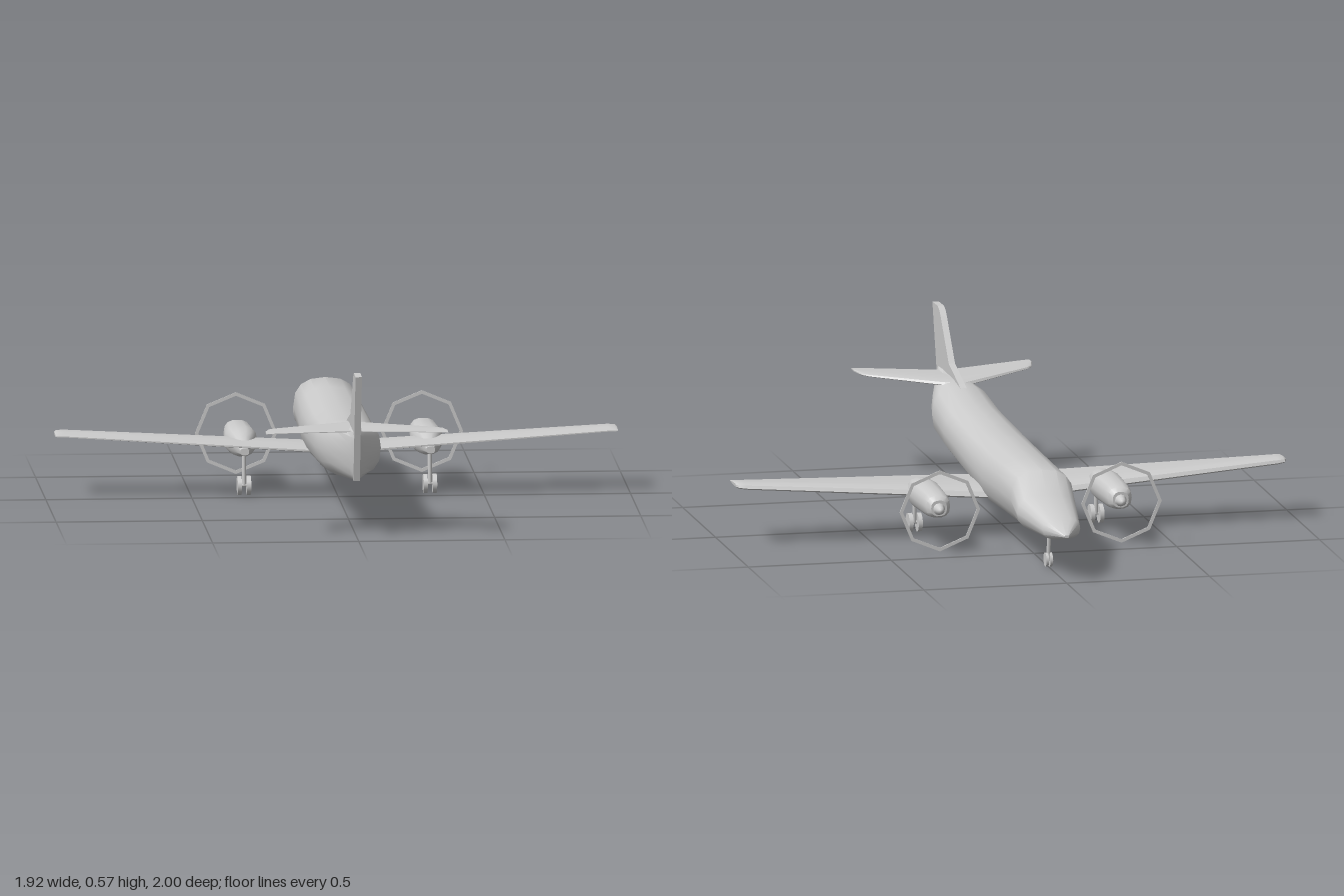
import * as THREE from 'three';
import { toCreasedNormals } from 'three/addons/utils/BufferGeometryUtils.js';

const grey = new THREE.MeshStandardMaterial({ color: 0xcccccc, side: THREE.DoubleSide });

function add(parent, name, geometry, x = 0, y = 0, z = 0) {
  const mesh = new THREE.Mesh(geometry, grey);
  mesh.name = name;
  mesh.position.set(x, y, z);
  parent.add(mesh);
  return mesh;
}

// Skin a row of equal-length point rings, cap both ends, face outwards.
function loft(rings, crease = 0.6) {
  const n = rings[0].length, tris = [];
  const centre = r => r.reduce((a, p) => a.add(p), new THREE.Vector3()).divideScalar(n);
  for (let i = 0; i < rings.length - 1; i++) {
    for (let j = 0; j < n; j++) {
      const k = (j + 1) % n, a = rings[i], b = rings[i + 1];
      tris.push([a[j], a[k], b[k]], [a[j], b[k], b[j]]);
    }
  }
  const first = rings[0], last = rings[rings.length - 1];
  const c0 = centre(first), c1 = centre(last);
  for (let j = 0; j < n; j++) {
    const k = (j + 1) % n;
    tris.push([c0, first[k], first[j]], [c1, last[j], last[k]]);
  }
  const volume = tris.reduce((s, [a, b, c]) => s + a.dot(b.clone().cross(c)), 0);
  if (volume < 0) tris.forEach(t => t.reverse());
  const geometry = new THREE.BufferGeometry().setFromPoints(tris.flat());
  return toCreasedNormals(geometry, crease);
}

// Rounded body section; lean pushes the upper half backwards.
function bodyRing([z, bottom, top, halfWidth, lean = 0], x = 0, sides = 16) {
  const ring = [], soft = v => Math.sign(v) * Math.abs(v) ** 0.8;
  for (let i = 0; i < sides; i++) {
    const a = (i / sides) * Math.PI * 2, s = soft(Math.sin(a));
    ring.push(new THREE.Vector3(
      x + halfWidth * soft(Math.cos(a)),
      (top + bottom) / 2 + s * (top - bottom) / 2,
      z + lean * s));
  }
  return ring;
}

// Aerofoil section running from leading to trailing edge.
function foilRing([x, zLead, zTrail, yLead, yTrail, thick], side) {
  const outline = [[0, -0.2], [0.04, 0.25], [0.2, 0.5], [0.6, 0.4], [1, 0.08],
    [1, -0.08], [0.6, -0.4], [0.2, -0.5], [0.04, -0.4]];
  return outline.map(([t, h]) => new THREE.Vector3(
    side * x,
    THREE.MathUtils.lerp(yLead, yTrail, t) + h * thick,
    THREE.MathUtils.lerp(zLead, zTrail, t)));
}

function rod(from, to, radius) {
  const a = new THREE.Vector3(...from), b = new THREE.Vector3(...to);
  return new THREE.TubeGeometry(new THREE.LineCurve3(a, b), 1, radius, 8);
}

function wheels(parent, x, z, radius, width, gap) {
  for (const s of [-1, 1]) {
    const g = new THREE.CylinderGeometry(radius, radius, width, 12).rotateZ(Math.PI / 2);
    add(parent, 'wheel', toCreasedNormals(g, 0.7), x + s * gap, radius + 0.003, z);
  }
  add(parent, 'axle', new THREE.CylinderGeometry(0.005, 0.005, gap * 2, 8).rotateZ(Math.PI / 2),
    x, radius + 0.003, z);
}

export function createModel() {
  const plane = new THREE.Group();
  plane.name = 'twinPropellerAeroplane';

  // Fuselage from nose to tail: z, bottom, top, half width, lean
  const body = [
    [-1, 0.16, 0.17, 0.008], [-0.92, 0.138, 0.213, 0.066], [-0.7, 0.126, 0.252, 0.105],
    [-0.62, 0.123, 0.32, 0.11], [-0.4, 0.115, 0.321, 0.112], [-0.2, 0.105, 0.321, 0.116],
    [0.05, 0.128, 0.321, 0.116], [0.4, 0.15, 0.334, 0.11], [0.6, 0.166, 0.36, 0.104],
    [0.7, 0.178, 0.368, 0.083], [0.88, 0.192, 0.37, 0.026, 0.02], [0.915, 0.195, 0.37, 0.01, 0.025],
  ];
  add(plane, 'fuselage', loft(body.map(s => bodyRing(s)), 0.7));

  // Fin, drawn as (-z, y) and turned to stand along the body
  const fin = new THREE.Shape([[0.5, 0.33], [0.6, 0.365], [0.75, 0.405], [0.875, 0.545],
    [0.895, 0.563], [0.92, 0.572], [1, 0.57], [0.94, 0.36], [0.895, 0.195], [0.8, 0.21]]
    .map(([z, y]) => new THREE.Vector2(-z, y)));
  const finGeometry = new THREE.ExtrudeGeometry(fin, { depth: 0.022, bevelEnabled: false });
  add(plane, 'fin', finGeometry.translate(0, 0, -0.011).rotateY(Math.PI / 2));

  for (const side of [-1, 1]) {
    const half = new THREE.Group();
    half.name = side > 0 ? 'leftSide' : 'rightSide';
    plane.add(half);

    // Wing: x, leading z, trailing z, leading y, trailing y, thickness
    add(half, 'wing', loft([
      [0.03, -0.225, 0.055, 0.15, 0.165, 0.036], [0.115, -0.222, 0.045, 0.155, 0.17, 0.036],
      [0.93, -0.176, -0.057, 0.21, 0.21, 0.022], [0.955, -0.17, -0.055, 0.212, 0.211, 0.018],
      [0.962, -0.155, -0.055, 0.212, 0.211, 0.01],
    ].map(s => foilRing(s, side))));

    // Swept tailplane
    add(half, 'tailplane', loft([
      [0, 0.62, 0.855, 0.355, 0.36, 0.02], [0.275, 0.805, 0.925, 0.364, 0.366, 0.01],
      [0.297, 0.83, 0.932, 0.365, 0.366, 0.009], [0.311, 0.885, 0.937, 0.366, 0.366, 0.006],
    ].map(s => foilRing(s, side))));

    // Engine nacelle, spinner and propeller ring
    const x = side * 0.318;
    add(half, 'nacelle', loft([
      [-0.44, 0.135, 0.19, 0.028], [-0.425, 0.127, 0.205, 0.042], [-0.39, 0.122, 0.212, 0.047],
      [-0.22, 0.118, 0.216, 0.056], [-0.15, 0.122, 0.212, 0.046], [-0.11, 0.127, 0.2, 0.033],
      [-0.02, 0.145, 0.17, 0.015],
    ].map(s => bodyRing(s, x, 14)), 0.7));
    const spinner = new THREE.LatheGeometry([[0.022, 0], [0.017, 0.012], [0.013, 0.03], [0.007, 0.037], [0, 0.038]]
      .map(p => new THREE.Vector2(...p)), 12).rotateX(-Math.PI / 2);
    add(half, 'spinner', spinner, x, 0.16, -0.437);
    const ring = new THREE.Shape(), hole = new THREE.Path();
    for (let i = 0; i < 8; i++) {
      const a = i * Math.PI / 4, c = Math.cos(a), s = Math.sin(a);
      ring[i ? 'lineTo' : 'moveTo'](0.141 * c, 0.141 * s);
      hole[i ? 'lineTo' : 'moveTo'](0.129 * c, 0.129 * s);
    }
    ring.holes.push(hole);
    add(half, 'propellerRing', new THREE.ExtrudeGeometry(ring, { depth: 0.004, bevelEnabled: false }),
      x, 0.156, -0.452);

    // Main landing gear
    add(half, 'mainStrut', rod([x, 0.036, -0.06], [x, 0.16, -0.07], 0.007));
    wheels(half, x, -0.06, 0.033, 0.014, 0.016);
  }

  // Nose landing gear
  add(plane, 'noseStrut', rod([0, 0.03, -0.72], [0, 0.14, -0.735], 0.007));
  add(plane, 'noseBrace', rod([0, 0.06, -0.724], [0, 0.14, -0.705], 0.004));
  wheels(plane, 0, -0.72, 0.025, 0.009, 0.007);

  return plane;
}
